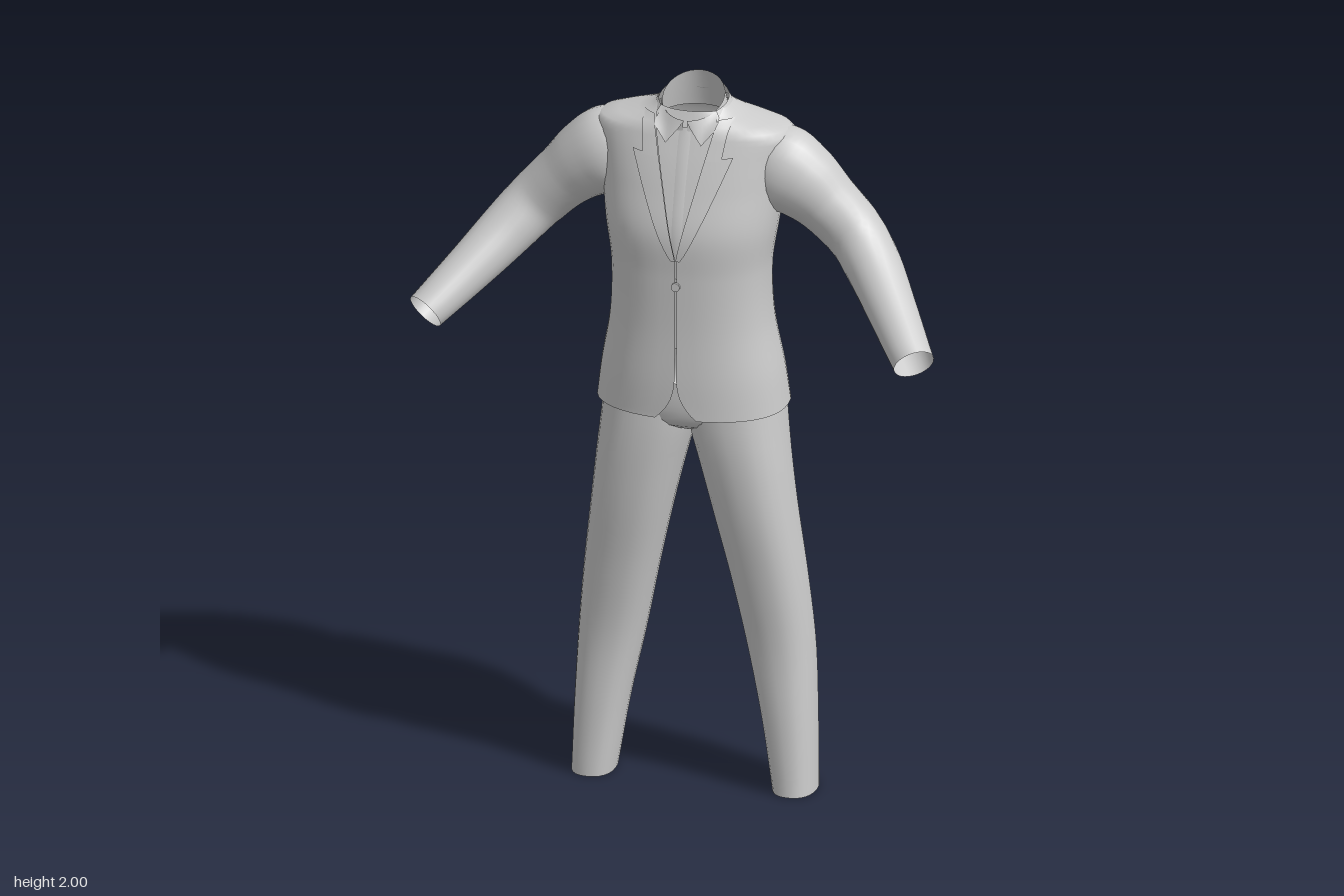
import * as THREE from 'three';

const material = new THREE.MeshStandardMaterial({ color: 0xcccccc, side: THREE.DoubleSide });

// Grid surface: point(i, j) gives [x, y, z]; columns may wrap, single quads may be skipped
function sheet(name, cols, rows, point, wrap = false, skip = () => false) {
  const pos = [], idx = [], n = wrap ? cols : cols + 1;
  for (let j = 0; j <= rows; j++) for (let i = 0; i < n; i++) pos.push(...point(i, j));
  for (let j = 0; j < rows; j++) for (let i = 0; i < cols; i++) {
    if (skip(i, j)) continue;
    const k = (i + 1) % n, a = j * n + i, b = j * n + k, c = a + n, d = b + n;
    idx.push(a, b, d, a, d, c);
  }
  const g = new THREE.BufferGeometry();
  g.setAttribute('position', new THREE.Float32BufferAttribute(pos, 3));
  g.setIndex(idx);
  g.computeVertexNormals();
  const mesh = new THREE.Mesh(g, material);
  mesh.name = name;
  return mesh;
}

// Smooth interpolation in a table whose first column is the key
function sample(table, y) {
  const last = table.length - 1;
  let k = 0;
  while (k < last - 1 && y > table[k + 1][0]) k++;
  const slope = (i, c) => {
    const a = table[Math.max(i - 1, 0)], b = table[Math.min(i + 1, last)];
    return (b[c] - a[c]) / (b[0] - a[0]);
  };
  const p = table[k], q = table[k + 1], h = q[0] - p[0];
  const t = Math.min(Math.max((y - p[0]) / h, 0), 1), t2 = t * t, t3 = t2 * t;
  return p.map((v, c) => (2 * t3 - 3 * t2 + 1) * v + (t3 - 2 * t2 + t) * h * slope(k, c)
    + (3 * t2 - 2 * t3) * q[c] + (t3 - t2) * h * slope(k + 1, c));
}

const lerp = THREE.MathUtils.lerp;
const POWER = 0.86;
const soft = (v) => Math.sign(v) * Math.abs(v) ** POWER;

// Torso sections: height, half width, back z, front z
const TORSO = [
  [1.10, 0.258, -0.235, 0.135], [1.20, 0.245, -0.225, 0.135], [1.35, 0.219, -0.202, 0.13],
  [1.50, 0.215, -0.192, 0.13], [1.62, 0.232, -0.203, 0.13], [1.74, 0.248, -0.208, 0.098],
  [1.82, 0.262, -0.206, 0.072], [1.87, 0.270, -0.196, 0.053], [1.888, 0.258, -0.187, 0.047],
  [1.905, 0.20, -0.175, 0.04], [1.922, 0.135, -0.16, 0.033], [1.945, 0.10, -0.14, 0.025],
];

// Point on the torso; angle 0 is the front centre, growing towards the model's left
function torso(angle, y, off = 0) {
  const [, hw, zb, zf] = sample(TORSO, y);
  const mid = (zb + zf) / 2, depth = (zf - zb) / 2;
  return [(hw + off) * soft(Math.sin(angle)), y, mid + (depth + off) * soft(Math.cos(angle))];
}
const angleAt = (x, y) => Math.asin(Math.min(x / sample(TORSO, y)[1], 1) ** (1 / POWER));
const onFront = (x, y, off) => torso(angleAt(x, y), y, off);

// Half width of the jacket's front opening
function opening(y) {
  if (y < 1.24) return 0.002 + 0.055 * ((1.24 - y) / 0.14) ** 3;
  return 0.002 + 0.088 * Math.max(0, (y - 1.56) / 0.385);
}

function jacketBody() {
  const vent = 2.2, half = [];
  for (let i = 0; i <= 20; i++) half.push((i / 20) * Math.PI);
  half[14] = vent - 0.014;
  half.splice(15, 0, vent + 0.014);
  const around = [...half, ...half.slice(0, -1).reverse().map((a) => 2 * Math.PI - a)];
  const rows = 60, cols = around.length - 1;
  return sheet('jacketBody', cols, rows, (i, j) => {
    const y = lerp(1.10, 1.945, j / rows), mirrored = around[i] > Math.PI;
    const a = mirrored ? 2 * Math.PI - around[i] : around[i];
    const p = torso(a + angleAt(opening(y), y) * (1 - a / Math.PI) ** 3, y);
    if (mirrored) p[0] *= -1;
    return p;
  }, false, (i, j) => j < 9 && (i === 14 || i === cols - 15));
}

// Tube of elliptical rings: centre x, y, z, radius across, horizontal radius
function sleeve() {
  const rings = [
    [0.18, 1.785, -0.07, 0.105, 0.085], [0.235, 1.77, -0.068, 0.122, 0.10],
    [0.29, 1.74, -0.07, 0.108, 0.096], [0.36, 1.68, -0.075, 0.088, 0.085],
    [0.44, 1.60, -0.07, 0.081, 0.078], [0.50, 1.535, -0.025, 0.076, 0.076],
    [0.58, 1.45, 0.07, 0.066, 0.067], [0.672, 1.358, 0.19, 0.053, 0.056],
  ];
  const path = new THREE.CatmullRomCurve3(rings.map((r) => new THREE.Vector3(...r.slice(0, 3))));
  const radii = rings.map((r, i) => [i / (rings.length - 1), r[3], r[4]]);
  const sides = 24, rows = 35, up = new THREE.Vector3(0, 1, 0);
  return sheet('sleeve', sides, rows, (i, j) => {
    const t = j / rows, a = -(i / sides) * Math.PI * 2, dir = path.getTangent(t);
    const side = new THREE.Vector3().crossVectors(up, dir).normalize();
    const over = new THREE.Vector3().crossVectors(dir, side);
    const [, rOver, rSide] = sample(radii, t);
    return path.getPoint(t).addScaledVector(over, rOver * Math.cos(a))
      .addScaledVector(side, -rSide * Math.sin(a)).toArray();
  }, true);
}

// Vertical loft of rings: height, inner x, outer x, back z, front z
function column(name, table, rows, sides = 24) {
  return sheet(name, sides, rows, (i, j) => {
    const y = lerp(table[0][0], table.at(-1)[0], j / rows), a = (i / sides) * Math.PI * 2;
    const [, x0, x1, zb, zf] = sample(table, y);
    return [(x0 + x1) / 2 + (x1 - x0) / 2 * soft(Math.sin(a)), y,
      (zb + zf) / 2 + (zf - zb) / 2 * soft(Math.cos(a))];
  }, true);
}

const LEG = [
  [0, 0.218, 0.335, -0.145, 0.02], [0.2, 0.185, 0.33, -0.163, 0.015], [0.4, 0.143, 0.321, -0.18, 0.013],
  [0.6, 0.102, 0.302, -0.178, 0.036], [0.8, 0.056, 0.277, -0.178, 0.066], [0.95, 0.018, 0.26, -0.186, 0.08],
  [1.04, -0.008, 0.25, -0.2, 0.083], [1.15, -0.03, 0.24, -0.21, 0.08],
];
const SEAT = [
  [1.02, -0.04, 0.04, -0.1, 0], [1.05, -0.16, 0.16, -0.18, 0.06],
  [1.09, -0.225, 0.225, -0.205, 0.078], [1.18, -0.22, 0.22, -0.19, 0.08],
];

// Ring around the neck, higher at the back; level 0 is the base, 1 the rim
function neck(a, level, off = 0) {
  const r = lerp(0.098, 0.083, level) + off;
  return [r * Math.sin(a), lerp(1.89, 1.96 - 0.04 * Math.cos(a), level),
    lerp(-0.058, -0.045, level) + r * Math.cos(a)];
}

export function createModel() {
  const model = new THREE.Group();
  const both = (make) => [1, -1].forEach((s) => {
    const part = make();
    part.name = (s > 0 ? 'left ' : 'right ') + part.name;
    part.scale.x = s;
    model.add(part);
  });

  // Jacket and trousers
  model.add(jacketBody(), column('trouserSeat', SEAT, 10));
  both(sleeve);
  both(() => column('trouserLeg', LEG, 24));

  // Shirt front behind the opening, with its button placket
  model.add(sheet('shirtFront', 24, 24, (i, j) =>
    torso(lerp(-1.25, 1.25, i / 24), lerp(1.3, 1.94, j / 24), -0.01)));
  model.add(sheet('shirtPlacket', 2, 16, (i, j) =>
    torso(lerp(-0.04, 0.04, i / 2), lerp(1.5, 1.9, j / 16), i === 1 ? -0.004 : -0.007)));

  // Shirt collar: standing band and folded points
  model.add(sheet('collarBand', 32, 5, (i, j) => neck(lerp(0.06, Math.PI * 2 - 0.06, i / 32), j / 5)));
  both(() => sheet('collarPoint', 8, 4, (i, j) => {
    const u = i / 8, top = neck(lerp(0.07, 1.1, u), 1, 0.002);
    const tip = 1.905 - 0.045 * (1 - Math.abs(u - 0.5) * 2);
    const low = onFront(lerp(0.012, 0.085, u), tip, 0.003);
    return top.map((v, k) => lerp(v, low[k], j / 4));
  }));

  // Jacket collar around the back of the neck
  model.add(sheet('jacketCollar', 28, 4, (i, j) => {
    const a = lerp(0.95, Math.PI * 2 - 0.95, i / 28), t = j / 4;
    const back = (1 - Math.cos(a)) / 2, r = lerp(0.093, 0.118, t);
    return [r * Math.sin(a), lerp(1.935 + 0.04 * back, 1.905 + 0.015 * back, t), -0.05 + r * Math.cos(a)];
  }));

  // Lapels, with a notch below the collar ends
  both(() => sheet('lapel', 6, 16, (i, j) => {
    const y = lerp(1.555, 1.825, j / 16), inner = opening(y) - 0.001;
    const outer = Math.max(inner, lerp(0.012, 0.135, (j / 16) ** 0.85));
    return onFront(lerp(inner, outer, i / 6), y + 0.012 * (i / 6) * (j / 16), 0.006);
  }));
  both(() => sheet('collarEnd', 6, 6, (i, j) => {
    const y = lerp(1.825, 1.925, j / 6), inner = opening(y) - 0.001;
    return onFront(lerp(inner, lerp(0.105, 0.118, j / 6), i / 6), y, 0.007);
  }));

  // Front button
  const button = new THREE.Mesh(new THREE.CylinderGeometry(0.012, 0.012, 0.008, 16), material);
  button.name = 'frontButton';
  button.rotation.x = Math.PI / 2;
  button.position.set(0, 1.48, 0.132);
  model.add(button);

  // Cuff buttons along the outer back of each sleeve
  both(() => {
    const row = new THREE.Group();
    row.name = 'cuffButtons';
    for (let i = 0; i < 3; i++) {
      const b = new THREE.Mesh(new THREE.SphereGeometry(0.006, 8, 6), material);
      b.name = 'cuffButton';
      b.position.set(0.664 + 0.013 * i, 1.405 - 0.014 * i, 0.088 + 0.019 * i);
      row.add(b);
    }
    return row;
  });

  return model;
}
